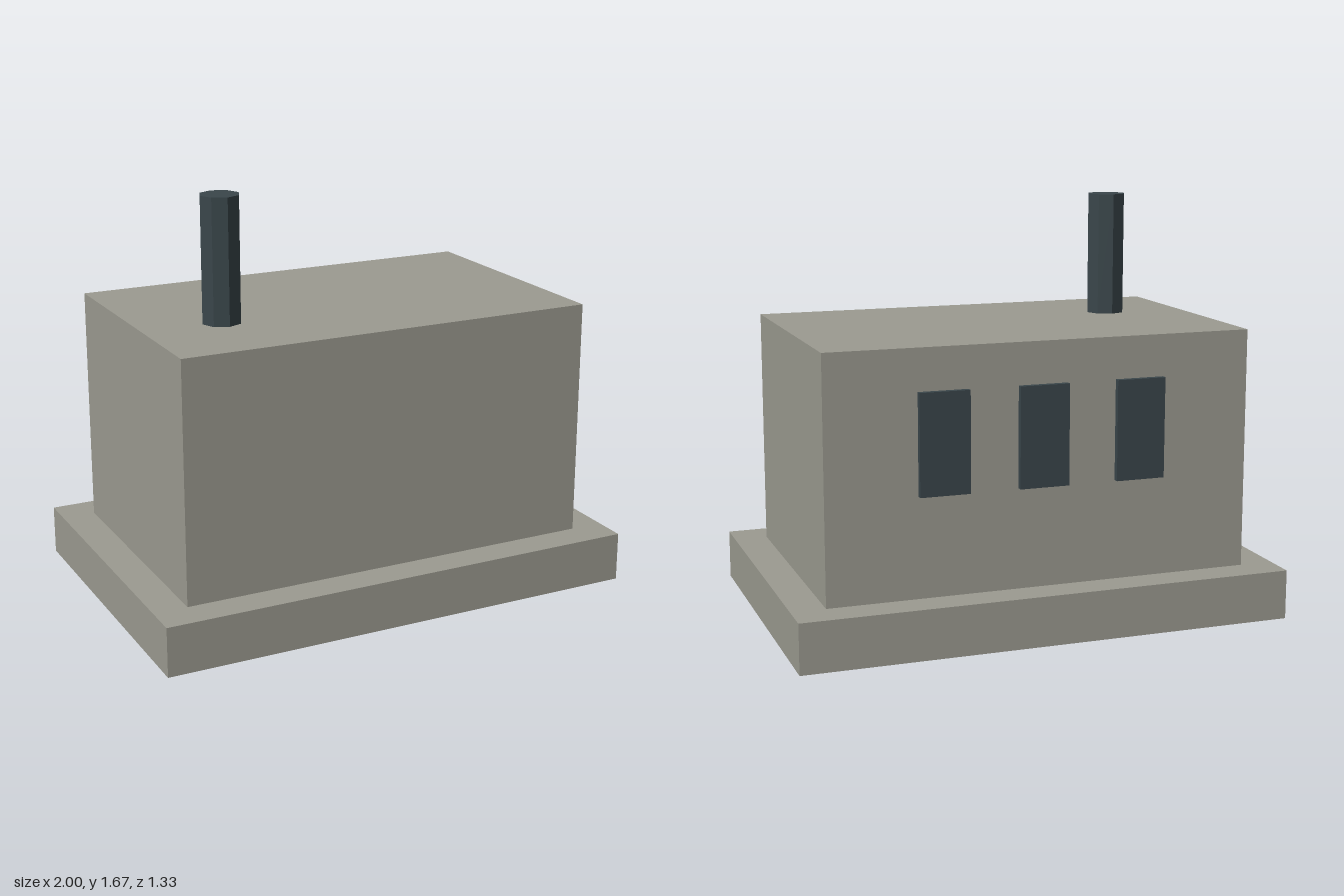
import * as THREE from 'three';

const concrete = new THREE.MeshStandardMaterial({ color: 0x9c9b91 });
concrete.name = 'warm grey concrete';
const darkSteel = new THREE.MeshStandardMaterial({ color: 0x3a464b });
darkSteel.name = 'dark slate';
darkSteel.flatShading = true;

export function createModel() {
  const model = new THREE.Group();
  model.name = 'blockBuilding';

  const add = (name, geometry, material, x, y, z) => {
    const mesh = new THREE.Mesh(geometry, material);
    mesh.name = name;
    mesh.position.set(x, y, z);
    model.add(mesh);
  };

  // Wide plinth and the main block standing on it
  add('plinth', new THREE.BoxGeometry(2, 0.2, 1.333), concrete, 0, 0.1, 0);
  add('mainBlock', new THREE.BoxGeometry(1.728, 0.967, 1.065), concrete, 0, 0.6835, 0);

  // Octagonal chimney on the roof
  add('chimney', new THREE.CylinderGeometry(0.08, 0.08, 0.5, 8), darkSteel, -0.535, 1.417, 0.133);

  // Three raised window panels on the back wall
  for (const x of [-0.4, 0, 0.4]) {
    add('windowPanel', new THREE.BoxGeometry(0.2, 0.4, 0.03), darkSteel, x, 0.8, -0.541);
  }

  return model;
}
